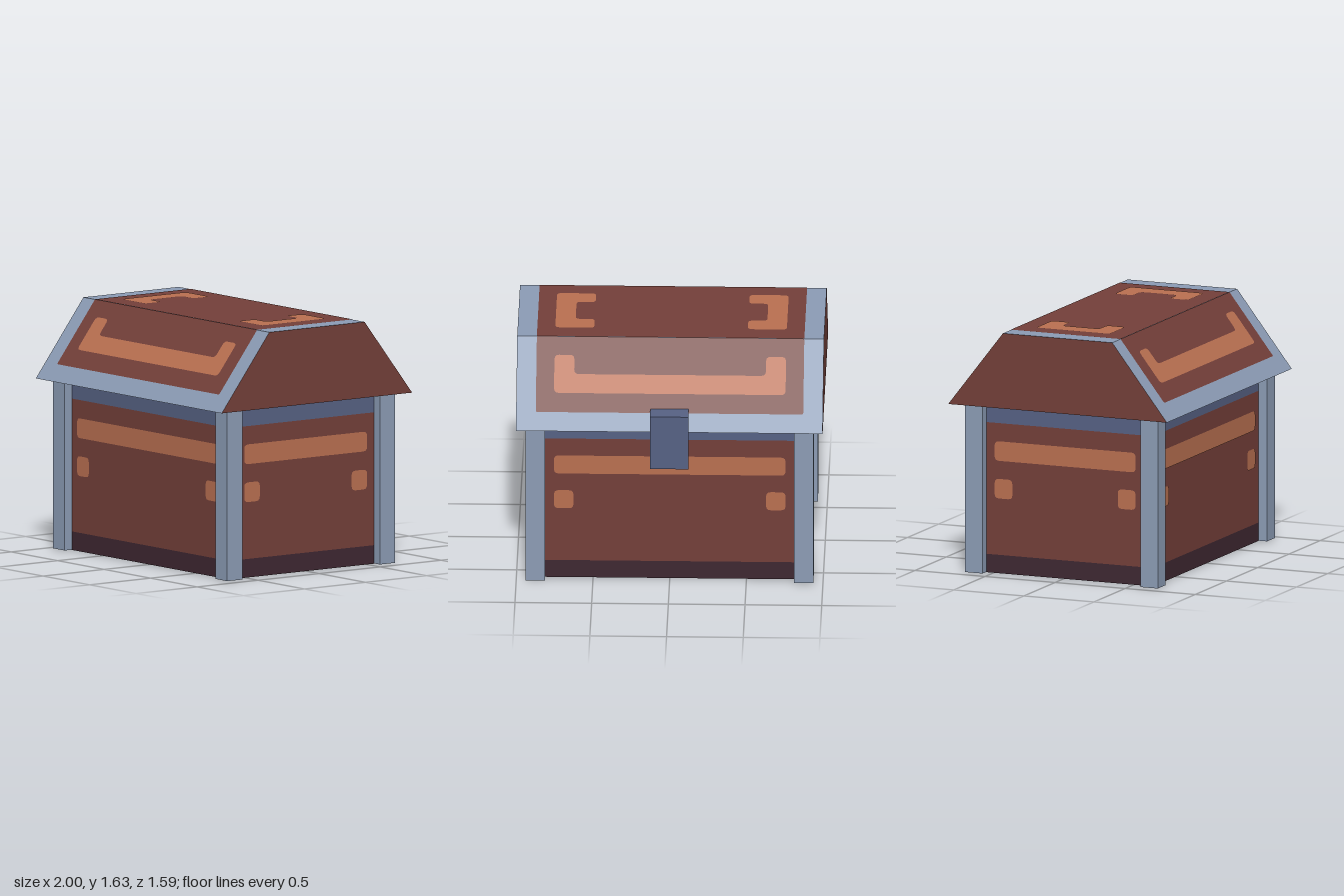
import * as THREE from 'three';

const mat = (name, color) => {
  const m = new THREE.MeshStandardMaterial({ color });
  m.name = name;
  return m;
};

export function createModel() {
  const wood = mat('brown wood', 0x733f39);
  const iron = mat('light iron', 0x8b9bb4);
  const steel = mat('blue steel', 0x566183);
  const dark = mat('dark wood', 0x3e2731);
  const copper = mat('copper', 0xb86f50);

  const model = new THREE.Group();
  model.name = 'chest';
  const chest = new THREE.Group();
  chest.name = 'chestParts';
  chest.position.z = 0.0175;
  model.add(chest);

  const box = (name, material, x0, x1, y0, y1, z0, z1) => {
    const mesh = new THREE.Mesh(new THREE.BoxGeometry(x1 - x0, y1 - y0, z1 - z0), material);
    mesh.position.set((x0 + x1) / 2, (y0 + y1) / 2, (z0 + z1) / 2);
    mesh.name = name;
    chest.add(mesh);
  };

  // A face frame: local x right, y up, z outward
  const face = (name, x, y, z, turn, tilt = 0) => {
    const g = new THREE.Group();
    g.name = name;
    g.position.set(x, y, z);
    g.rotation.set(tilt, turn, 0, 'YXZ');
    chest.add(g);
    return g;
  };

  // Flat inlay with softened corners, lifted slightly off its face
  const inlay = (parent, name, material, points, r, lift) => {
    const p = points.map(([x, y]) => new THREE.Vector2(x, y));
    const shape = new THREE.Shape();
    p.forEach((c, i) => {
      const a = p[(i + p.length - 1) % p.length], b = p[(i + 1) % p.length];
      const s = c.clone().add(a.clone().sub(c).setLength(r));
      const e = c.clone().add(b.clone().sub(c).setLength(r));
      if (i) shape.lineTo(s.x, s.y); else shape.moveTo(s.x, s.y);
      shape.quadraticCurveTo(c.x, c.y, e.x, e.y);
    });
    shape.closePath();
    const mesh = new THREE.Mesh(new THREE.ShapeGeometry(shape, 3), material);
    mesh.position.z = lift;
    mesh.name = name;
    parent.add(mesh);
  };
  const rect = (x0, x1, y0, y1) => [[x0, y0], [x1, y0], [x1, y1], [x0, y1]];

  // Body in three stacked layers
  const W = 0.875, D = 0.625;
  box('bodyBase', dark, -W, W, 0.003, 0.125, -D, D);
  box('bodyWalls', wood, -W, W, 0.125, 1, -D, D);
  box('bodyRim', steel, -W, W, 1, 1.125, -D, D);
  const floor = face('floor', 0, 0.003, 0, 0, Math.PI / 2);
  inlay(floor, 'floorPanel', wood, rect(-0.75, 0.75, -0.5, 0.5), 0.03, 0.003);

  // Corner posts
  for (const sx of [-1, 1]) for (const sz of [-1, 1]) {
    const cx = sx * W, cz = sz * D, h = 0.0625;
    box('cornerPost', iron, cx - h, cx + h, 0.005, 1.125, cz - h, cz + h);
  }

  // Copper strap and two studs on each wall
  const walls = [
    ['frontWall', 0, D, 0, 0.755], ['backWall', 0, -D, Math.PI, 0.755],
    ['leftWall', W, 0, Math.PI / 2, 0.503], ['rightWall', -W, 0, -Math.PI / 2, 0.503],
  ];
  for (const [name, x, z, turn, w] of walls) {
    const wall = face(name, x, 0, z, turn);
    inlay(wall, 'strap', copper, rect(-w, w, 0.75, 0.88), 0.03, 0.004);
    inlay(wall, 'stud', copper, rect(-w, -w + 0.127, 0.5, 0.63), 0.03, 0.004);
    inlay(wall, 'stud', copper, rect(w - 0.127, w, 0.5, 0.63), 0.03, 0.004);
  }

  // Lid prism: wooden ends, iron-covered slopes, top and underside
  const LB = 0.78, LT = 0.39, Y0 = 1.125, Y1 = 1.625;
  const profile = new THREE.Shape([[-LB, Y0], [LB, Y0], [LT, Y1], [-LT, Y1]]
    .map(([x, y]) => new THREE.Vector2(x, y)));
  const lidGeo = new THREE.ExtrudeGeometry(profile, { depth: 2, bevelEnabled: false });
  lidGeo.translate(0, 0, -1).rotateY(Math.PI / 2);
  const lid = new THREE.Mesh(lidGeo, [wood, iron]);
  lid.name = 'lid';
  chest.add(lid);

  // Wooden panels and copper brackets on both slopes
  const run = LB - LT, rise = Y1 - Y0, len = Math.hypot(run, rise);
  for (const [name, sz, turn] of [['frontSlope', 1, 0], ['backSlope', -1, Math.PI]]) {
    const slope = face(name, 0, Y0, sz * LB, turn, -Math.atan2(run, rise));
    inlay(slope, 'slopePanel', wood, rect(-0.872, 0.872, 0.127, len), 0.01, 0.003);
    inlay(slope, 'slopeBracket', copper, [
      [-0.755, 0.255], [0.755, 0.255], [0.755, 0.51], [0.625, 0.51],
      [0.625, 0.382], [-0.625, 0.382], [-0.625, 0.51], [-0.755, 0.51],
    ], 0.03, 0.006);
  }

  // Lid top panel with a bracket at each end
  const top = face('lidTop', 0, Y1, 0, 0, -Math.PI / 2);
  inlay(top, 'topPanel', wood, rect(-0.872, 0.872, -LT, LT), 0.002, 0.002);
  const bracket = [
    [0.5, -0.262], [0.755, -0.262], [0.755, 0.262], [0.5, 0.262],
    [0.5, 0.13], [0.625, 0.13], [0.625, -0.13], [0.5, -0.13],
  ];
  inlay(top, 'topBracket', copper, bracket, 0.03, 0.005);
  inlay(top, 'topBracket', copper, bracket.map(([x, y]) => [-x, -y]), 0.03, 0.005);

  // Clasp
  box('clasp', steel, -0.125, 0.125, 0.875, 1.25, -0.8125, -0.6875);

  return model;
}
